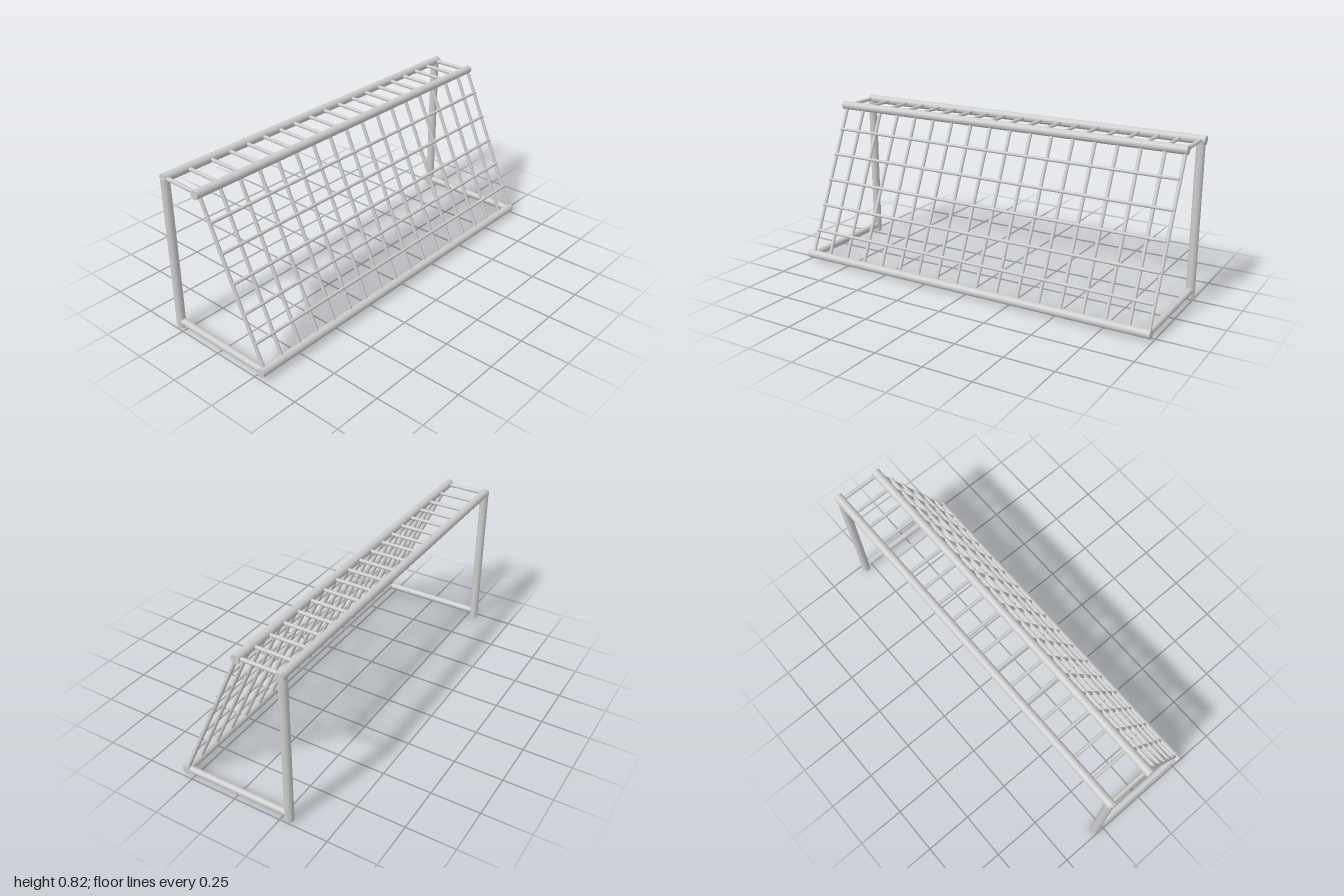
import * as THREE from 'three';

const material = new THREE.MeshStandardMaterial({ color: 0xcccccc });
const up = new THREE.Vector3(0, 1, 0);

// Round tube between two points
function rod(name, a, b, radius, sides = 16) {
  const from = new THREE.Vector3(...a);
  const dir = new THREE.Vector3(...b).sub(from);
  const mesh = new THREE.Mesh(new THREE.CylinderGeometry(radius, radius, dir.length(), sides), material);
  mesh.name = name;
  mesh.position.copy(from).addScaledVector(dir, 0.5);
  mesh.quaternion.setFromUnitVectors(up, dir.normalize());
  return mesh;
}

export function createModel() {
  const goal = new THREE.Group();
  goal.name = 'goal';
  const frontX = -0.287, topX = -0.063, topY = 0.803, baseX = 0.286, baseY = 0.035;
  const sideZ = 0.975, thick = 0.022, thin = 0.009;

  // Long bars
  const frame = new THREE.Group();
  frame.name = 'frame';
  frame.add(
    rod('crossbar', [frontX, topY, -1], [frontX, topY, 0.988], thick, 32),
    rod('upperRearBar', [topX, topY, -0.992], [topX, topY, 0.997], thick, 32),
    rod('lowerRearBar', [baseX, baseY, -0.992], [baseX, baseY, 0.997], thick, 32)
  );

  // Posts and ground rails at both ends
  for (const z of [-sideZ, sideZ]) {
    frame.add(
      rod('post', [frontX, 0, z], [frontX, topY, z], thick, 32),
      rod('groundRail', [frontX, baseY, z], [baseX, baseY, z], 0.017, 32),
      rod('topEndRail', [frontX, topY, z], [topX, topY, z], 0.01)
    );
  }

  // Rungs across the top
  const roof = new THREE.Group();
  roof.name = 'roofRungs';
  const rungZ = [-0.875, -0.77, -0.664, -0.558, -0.451, -0.344, -0.238, -0.131, -0.024,
    0.083, 0.19, 0.29, 0.397, 0.503, 0.61, 0.722, 0.849];
  for (const z of rungZ) roof.add(rod('roofRung', [frontX, topY, z], [topX, topY, z], thin));

  // Sloping rods of the rear grid
  const grid = new THREE.Group();
  grid.name = 'rearGrid';
  const slopeZ = [-0.98, ...Array.from({ length: 16 }, (_, i) => -0.883 + i * 0.1162), 0.972];
  for (const z of slopeZ) grid.add(rod('slopingRod', [topX, topY, z], [baseX, baseY, z], thin));

  // Horizontal rods resting on the slope
  for (let i = 0; i < 5; i++) {
    const x = 0.002 + i * 0.0592, y = 0.682 - i * 0.1305;
    grid.add(rod('horizontalRod', [x, y, -0.98], [x, y, 0.975], 0.008));
  }

  goal.add(frame, roof, grid);
  return goal;
}
